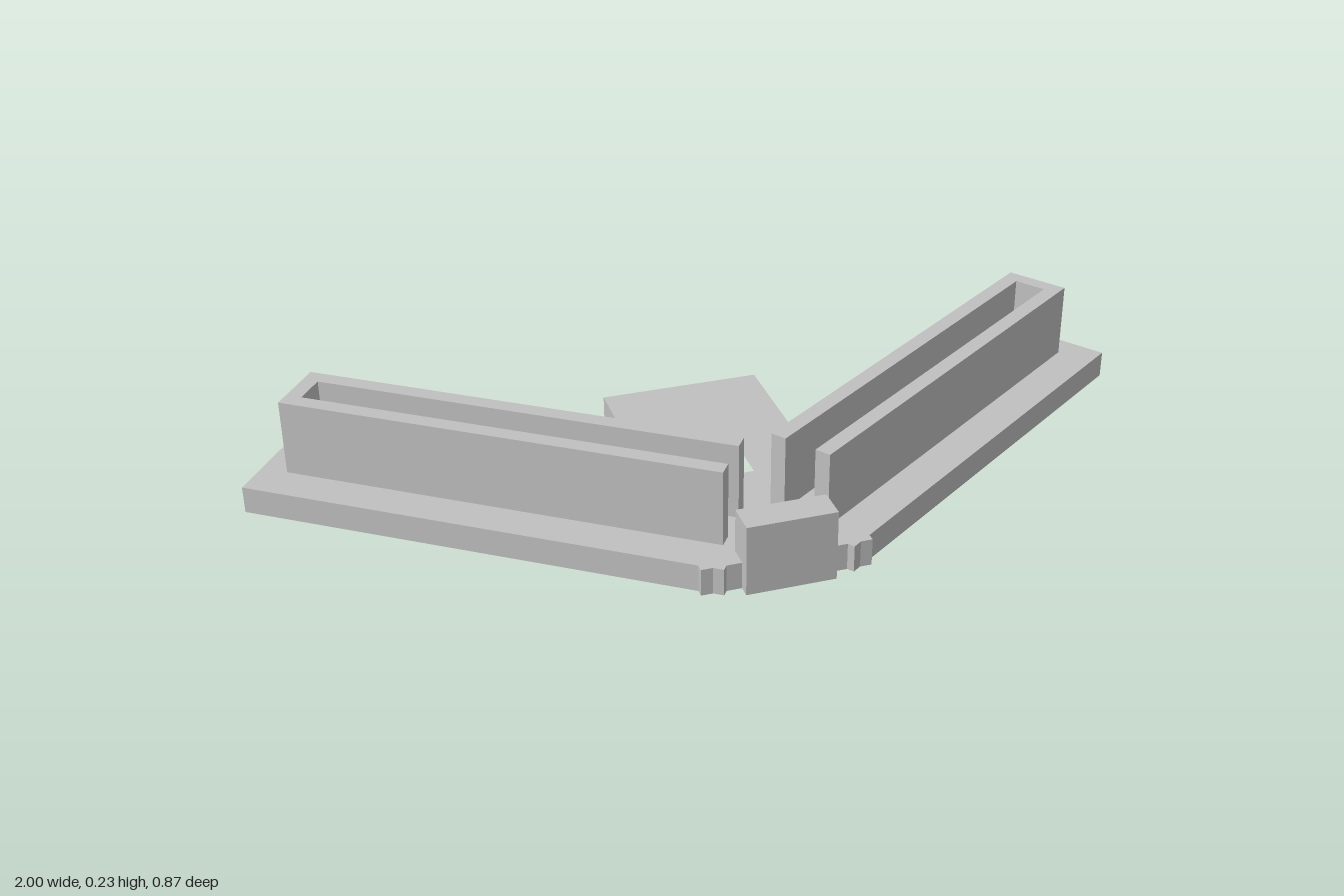
import * as THREE from 'three';

const grey = new THREE.MeshStandardMaterial({ color: 0xc0c0c0 });
grey.name = 'light grey';

const BASE_H = 0.06, WALL_TOP = 0.228, ANGLE = THREE.MathUtils.degToRad(35);

// Extrude a plan outline of [x, z] points upward from y0 to y1
function slab(name, points, y0, y1, hole) {
  const toVec = ([x, z]) => new THREE.Vector2(x, -z);
  const shape = new THREE.Shape(points.map(toVec));
  if (hole) shape.holes.push(new THREE.Path(hole.map(toVec)));
  const geo = new THREE.ExtrudeGeometry(shape, { depth: y1 - y0, bevelEnabled: false });
  geo.rotateX(-Math.PI / 2).translate(0, y0, 0);
  const mesh = new THREE.Mesh(geo, grey);
  mesh.name = name;
  return mesh;
}

// Arm coordinates: u runs outward along the arm, v across it; side mirrors in x
function armPoint(u, v, side) {
  const c = Math.cos(ANGLE), s = Math.sin(ANGLE);
  return [side * (u * c + v * s), v * c - u * s];
}

export function createModel() {
  const model = new THREE.Group();
  model.name = 'angledBracket';

  // Base plate: centre tongue and two swept arms in one outline
  const half = [
    [0.18, -0.33], [0.18, 0.013],
    armPoint(0.923, 0.114, 1), armPoint(0.923, 0.425, 1),
    [0.18, 0.393], [0.18, 0.41], [0.155, 0.41],
    armPoint(-0.131, 0.425, 1), [0.127, 0.41],
  ];
  const mirrored = half.map(([x, z]) => [-x, z]).reverse();
  const hole = [[-0.04, 0], [0.04, 0], [0.04, 0.083], [-0.04, 0.083]];
  model.add(slab('basePlate', [...half, ...mirrored], 0, BASE_H, hole));

  // U-shaped channel walls, open toward the centre
  const channel = [
    [-0.103, 0.198], [0.863, 0.198], [0.863, 0.341], [-0.103, 0.341],
    [-0.103, 0.306], [0.828, 0.306], [0.828, 0.233], [-0.103, 0.233],
  ];
  for (const [name, side] of [['leftChannel', 1], ['rightChannel', -1]]) {
    const points = channel.map(([u, v]) => armPoint(u, v, side));
    model.add(slab(name, points, BASE_H, WALL_TOP));
  }

  // Front stop block
  const block = new THREE.Mesh(new THREE.BoxGeometry(0.19, 0.156, 0.07), grey);
  block.position.set(0, 0.078, 0.401);
  block.name = 'frontBlock';
  model.add(block);

  return model;
}
